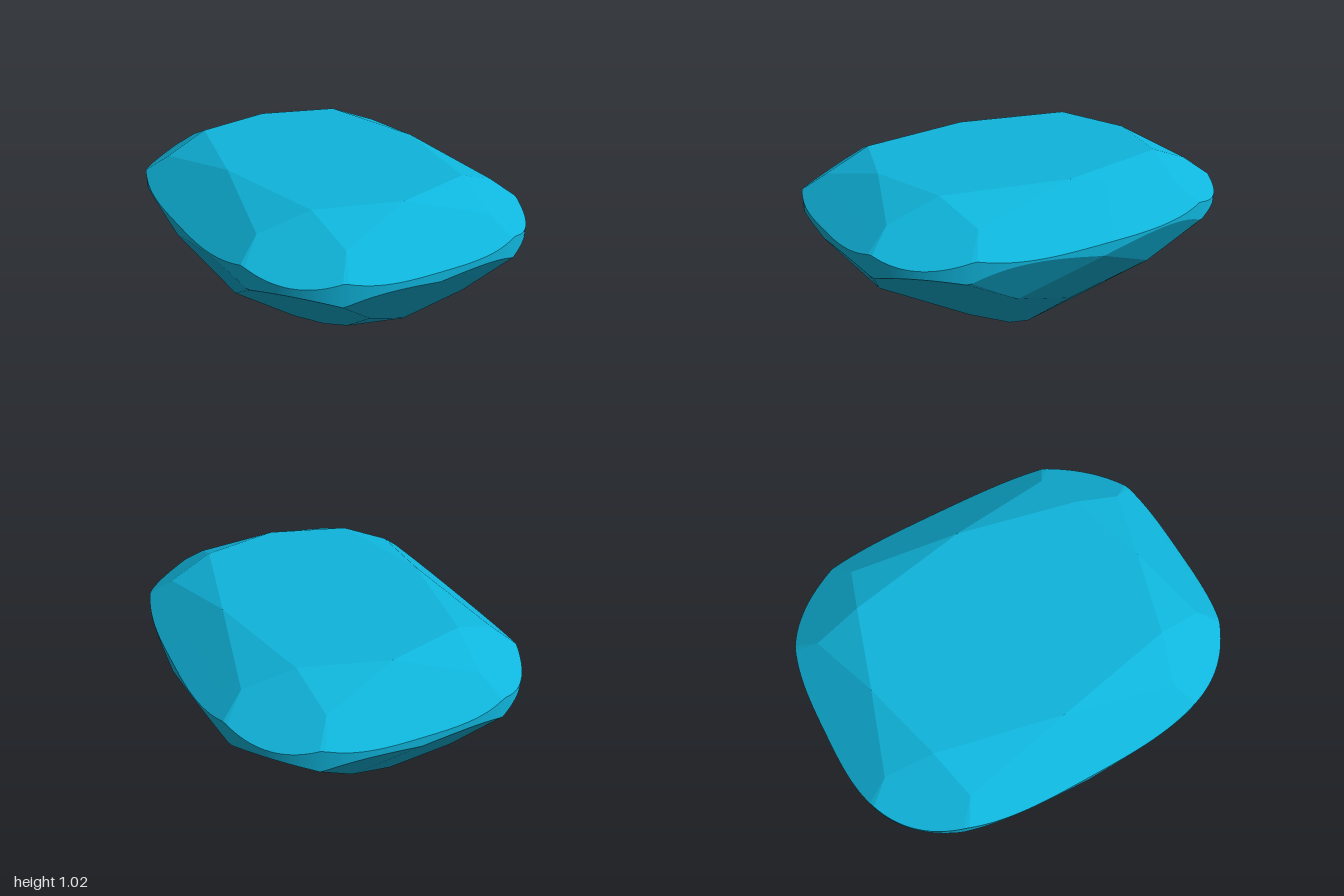
import * as THREE from 'three';
import { toCreasedNormals } from 'three/addons/utils/BufferGeometryUtils.js';
import { ConvexGeometry } from 'three/addons/geometries/ConvexGeometry.js';

const v = (x, y, z) => new THREE.Vector3(x, y, z);

// Height of the plane through three points, as a function of x and z
function facet(a, b, c) {
  const { normal: n, constant: d } = new THREE.Plane().setFromCoplanarPoints(a, b, c);
  return (x, z) => -(n.x * x + n.z * z + d) / n.y;
}

export function createModel() {
  // Crown corners in one quadrant: table rim, then the points below it
  const tableFront = v(0, 1.02, 0.715), tableSide = v(0.525, 1.02, 0), tableCorner = v(0.4, 1.02, 0.6);
  const crownFront = v(0.37, 0.926, 0.84), crownSide = v(0.63, 0.936, 0.54);

  // Pavilion corners in one quadrant: culet, keels and facet tips
  const culet = v(0, 0, 0);
  const keelFront = v(0, 0.125, 0.25), keelSide = v(0.185, 0.107, 0);
  const tipFront = v(0, 0.44, 0.745), tipSide = v(0.555, 0.42, 0);
  const shoulderFront = v(0.25, 0.57, 0.847), shoulderSide = v(0.67, 0.575, 0.37);

  // Facets that reach the girdle
  const crown = [
    facet(tableFront, crownFront, v(0, 0.805, 1)),
    facet(tableSide, crownSide, v(0.797, 0.805, 0)),
    facet(tableCorner, crownFront, crownSide),
  ];
  const pavilion = [
    facet(culet, shoulderFront, shoulderSide),
    facet(v(0, 0.758, 1), shoulderFront, v(0.44, 0.729, 0.945)),
    facet(v(0.797, 0.745, 0), shoulderSide, v(0.725, 0.737, 0.63)),
  ];

  // Mirror the corners into all four quadrants
  const points = [];
  const corners = [tableFront, tableSide, tableCorner, crownFront, crownSide,
    keelFront, keelSide, tipFront, tipSide, shoulderFront, shoulderSide];
  for (const p of corners) {
    for (const sx of p.x ? [1, -1] : [1]) {
      for (const sz of p.z ? [1, -1] : [1]) points.push(v(p.x * sx, p.y, p.z * sz));
    }
  }
  points.push(culet);

  // Girdle: cushion outline, cut above and below by the facets
  const steps = 256, power = 3.15, halfWidth = 0.797;
  for (let i = 0; i < steps; i++) {
    const t = (i / steps) * Math.PI * 2;
    const c = Math.cos(t), s = Math.sin(t);
    const r = (Math.abs(c / halfWidth) ** power + Math.abs(s) ** power) ** (-1 / power);
    const x = r * c, z = r * s, ax = Math.abs(x), az = Math.abs(z);
    points.push(v(x, Math.min(...crown.map((f) => f(ax, az))), z));
    points.push(v(x, Math.max(...pavilion.map((f) => f(ax, az))), z));
  }

  // Smooth girdle, crisp facets
  const geometry = toCreasedNormals(new ConvexGeometry(points), 0.1);
  const gem = new THREE.Mesh(geometry, new THREE.MeshStandardMaterial({ color: 0x0fb5dc }));
  gem.name = 'cushionCutGem';

  const group = new THREE.Group();
  group.name = 'gemstone';
  group.add(gem);
  return group;
}
